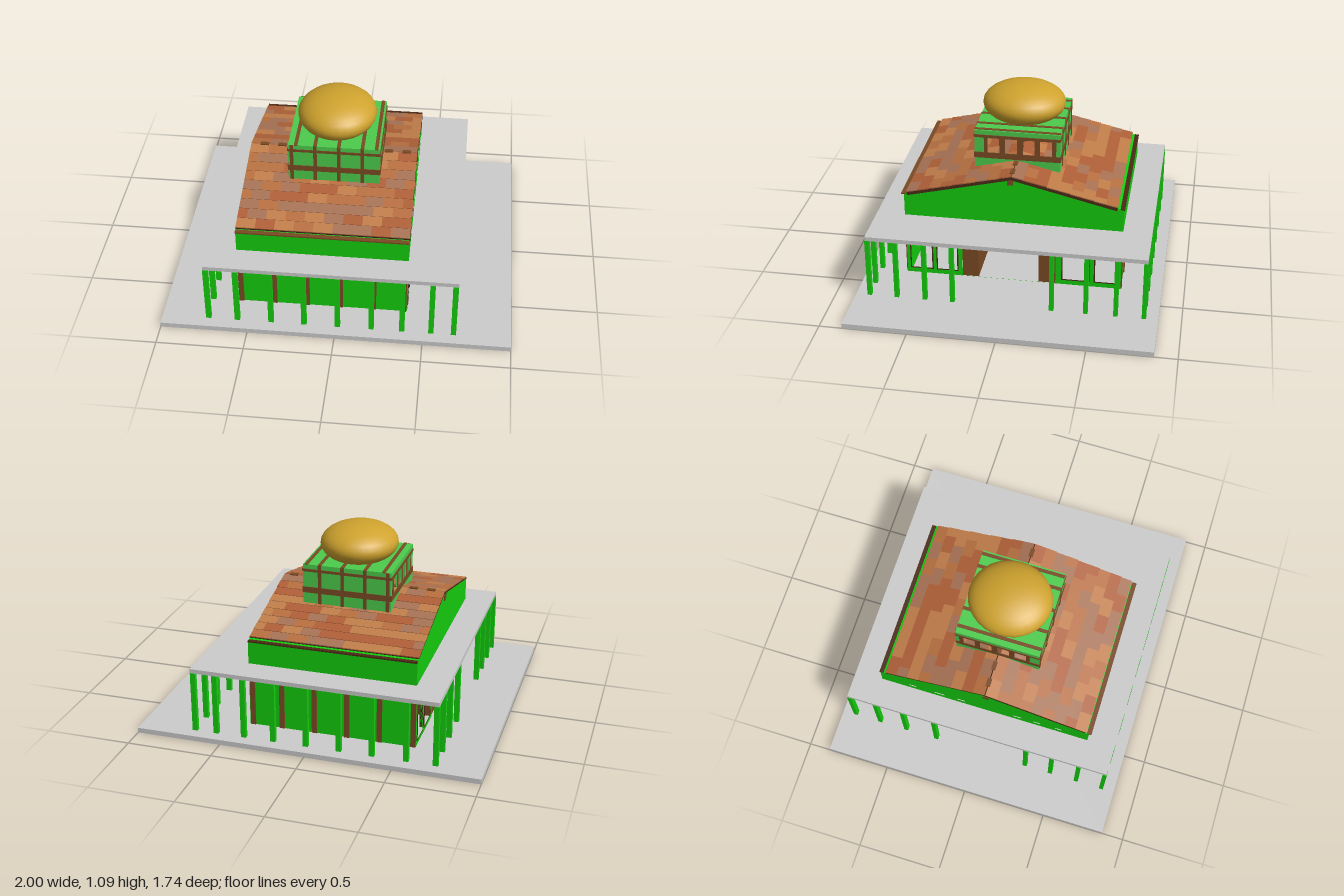
import * as THREE from 'three';

const mat = (color) => new THREE.MeshStandardMaterial({ color });
const M = {
  grey: mat(0xcccccc), green: mat(0x14cc0e), pale: mat(0x4ccc4c),
  brown: mat(0x7a4a24), dark: mat(0x4a2a16), gold: mat(0xcfa32e),
  tiles: [0xb87040, 0xc27e4a, 0xb06038, 0xa87355].map(mat),
};

// Box given by its limits on each axis
function box(parent, name, [x0, x1], [y0, y1], [z0, z1], material) {
  const m = new THREE.Mesh(new THREE.BoxGeometry(x1 - x0, y1 - y0, z1 - z0), material);
  m.position.set((x0 + x1) / 2, (y0 + y1) / 2, (z0 + z1) / 2);
  m.name = name;
  parent.add(m);
  return m;
}

// Outline in [z, y] with optional holes, extruded along x
function extrudeX(parent, name, outline, holes, x0, x1, material) {
  const pts = (a) => a.map(([z, y]) => new THREE.Vector2(-z, y));
  const shape = new THREE.Shape(pts(outline));
  holes.forEach((h) => shape.holes.push(new THREE.Path(pts(h))));
  const g = new THREE.ExtrudeGeometry(shape, { depth: x1 - x0, bevelEnabled: false });
  g.rotateY(Math.PI / 2).translate(x0, 0, 0);
  const m = new THREE.Mesh(g, material);
  m.name = name;
  parent.add(m);
}
const rect = (z0, z1, y0, y1) => [[z0, y0], [z1, y0], [z1, y1], [z0, y1]];
const around = (c, w) => [c - w / 2, c + w / 2];

function group(parent, name) {
  const g = new THREE.Group();
  g.name = name;
  parent.add(g);
  return g;
}

export function createModel() {
  const root = new THREE.Group();
  root.name = 'domedPavilion';

  box(root, 'basePlatform', [-1, 1], [0, 0.03], [-0.87, 0.87], M.grey);
  box(root, 'verandaRoof', [-0.745, 0.69], [0.39, 0.415], [-0.8, 0.8], M.grey);

  // Veranda posts
  const posts = group(root, 'verandaPosts');
  const postX = [-0.732, -0.565, -0.37, -0.18, 0.012, 0.205, 0.38, 0.546, 0.674];
  const postZ = [0.63, 0.465, 0.305, -0.265, -0.46, -0.63];
  const post = (x, z) => box(posts, 'post', around(x, 0.03), [0.03, 0.39], around(z, 0.025), M.green);
  for (const x of postX) for (const z of [-0.79, 0.79]) post(x, z);
  for (const z of postZ) for (const x of [-0.732, 0.674]) post(x, z);

  // Ground floor: long walls with brown pilasters and lintel
  const ground = group(root, 'groundFloor');
  for (const s of [-1, 1]) {
    const span = (a, b) => [Math.min(s * a, s * b), Math.max(s * a, s * b)];
    box(ground, 'longWall', [-0.58, 0.4], [0.03, 0.39], span(0.612, 0.632), M.green);
    box(ground, 'lintel', [-0.575, 0.395], [0.37, 0.39], span(0.63, 0.638), M.brown);
    for (const x of postX.slice(1, 7))
      box(ground, 'pilaster', around(x, 0.03), [0.03, 0.37], span(0.63, 0.638), M.brown);
  }

  // End walls with window and door openings
  const windows = [[0.475, 0.612], [0.325, 0.455], [-0.45, -0.285], [-0.612, -0.475]];
  const door = rect(-0.25, 0.3, 0.031, 0.37);
  for (const x of [-0.58, 0.38]) {
    extrudeX(ground, 'endWall', rect(-0.632, 0.632, 0.03, 0.39),
      [...windows.map(([a, b]) => rect(a, b, 0.06, 0.37)), door], x, x + 0.02, M.green);
    for (const [a, b] of windows)
      extrudeX(ground, 'windowFrame', rect(a, b, 0.06, 0.37),
        [rect(a + 0.007, b - 0.007, 0.067, 0.363)], x - 0.004, x + 0.024, M.dark);
  }
  // Brown walls flanking the passage
  box(ground, 'passageWall', [-0.575, 0.395], [0.03, 0.37], [0.205, 0.3], M.brown);
  box(ground, 'passageWall', [-0.575, 0.395], [0.03, 0.37], [-0.25, -0.15], M.brown);

  // Upper storey with gables; narrow recessed panels in the gable faces
  const upper = group(root, 'upperStorey');
  const gable = [[0.635, 0.415], [0.635, 0.55], [0.01, 0.7], [-0.635, 0.55], [-0.635, 0.415]];
  extrudeX(upper, 'upperBody', gable, [], -0.565, 0.385, M.green);
  const slits = [[0.455, 0.04, 0.555], [0.325, 0.04, 0.57], [0.205, 0.045, 0.59],
    [-0.14, 0.045, 0.59], [-0.275, 0.06, 0.57], [-0.44, 0.045, 0.555]];
  const slitHoles = slits.map(([z, w, top]) => {
    const [a, b] = around(z, w), tilt = z > 0 ? 0.005 : -0.005;
    return [[a, 0.455], [b, 0.455], [b, top - tilt], [a, top + tilt]];
  });
  extrudeX(upper, 'gableFace', gable, slitHoles, -0.58, -0.565, M.green);
  extrudeX(upper, 'gableFace', gable, slitHoles, 0.385, 0.4, M.green);
  box(upper, 'eavesBoard', [-0.58, 0.4], [0.548, 0.556], [0.625, 0.652], M.brown);
  box(upper, 'eavesBoard', [-0.58, 0.4], [0.548, 0.556], [-0.64, -0.615], M.dark);
  box(upper, 'ridgeBeam', [-0.585, 0.405], [0.66, 0.69], around(0.015, 0.035), M.brown);

  // Tiled roof: two sloping boards carrying staggered tiles
  const roof = group(root, 'roof');
  const pitch = Math.atan2(0.15, 0.62);
  let seed = 7;
  const rnd = () => (seed = (seed * 16807) % 2147483647) / 2147483647;
  for (const s of [-1, 1]) {
    const slope = group(roof, s > 0 ? 'frontSlope' : 'backSlope');
    slope.position.set(0, 0.7, 0.01);
    slope.rotation.x = s * pitch;
    const len = 0.625, rows = 9, step = len / rows, w = 0.109;
    box(slope, 'roofBoard', [-0.58, 0.403], [-0.008, 0.01], s > 0 ? [0, len] : [-len, 0], M.dark);
    for (let r = 0; r < rows; r++) {
      for (let x = -0.58 - (r % 2) * w / 2; x < 0.39; x += w) {
        const z = [s * r * step, s * (r + 1) * step].sort((a, b) => a - b);
        const tile = box(slope, 'roofTile', [Math.max(x, -0.58), Math.min(x + w, 0.403)],
          [0.01, 0.016], z, M.tiles[Math.floor(rnd() * 4)]);
        tile.rotation.x = -s * 0.04;
      }
    }
  }
  for (let i = 0; i < 9; i++)
    box(roof, 'ridgeCap', around(-0.5 + i * 0.105, 0.05), [0.7, 0.719], around(0.01, 0.025), M.brown);

  // Lantern: open glazed ends, panelled front and back
  const lantern = group(root, 'lantern');
  const X = [-0.325, 0.2], Z = [-0.243, 0.255];
  box(lantern, 'lanternTop', X, [0.875, 0.893], Z, M.pale);
  box(lantern, 'lanternPanel', X, [0.6, 0.875], [Z[1] - 0.012, Z[1]], M.pale);
  box(lantern, 'lanternPanel', X, [0.6, 0.875], [Z[0], Z[0] + 0.012], M.pale);
  const panes = [[0.11, 0.178], [0.008, 0.076], [-0.096, -0.028], [-0.195, -0.127]];
  const paneHoles = panes.map(([a, b]) => rect(a, b, 0.755, 0.848));
  for (const [x, out] of [[X[0], -0.004], [X[1] - 0.012, 0.012]]) {
    extrudeX(lantern, 'lanternEnd', rect(Z[0] + 0.012, Z[1] - 0.012, 0.6, 0.875), paneHoles, x, x + 0.012, M.pale);
    extrudeX(lantern, 'paneFrame', rect(-0.22, 0.2, 0.72, 0.866), paneHoles, x + out, x + out + 0.004, M.brown);
    for (const y of [[0.72, 0.755], [0.85, 0.866]])
      box(lantern, 'endRail', [x + out, x + out + 0.0045], y, Z, M.brown);
  }
  // Brown strips on front, back and top
  for (const [z0, z1] of [[Z[1], Z[1] + 0.004], [Z[0] - 0.004, Z[0]]]) {
    for (const y of [[0.72, 0.755], [0.85, 0.866]]) box(lantern, 'rail', X, y, [z0, z1], M.brown);
    for (const x of [-0.305, -0.17, -0.035, 0.1])
      box(lantern, 'stile', around(x, 0.02), [0.64, 0.893], [z0, z1], M.brown);
  }
  for (const x of [-0.28, -0.17, -0.035, 0.1, 0.18])
    box(lantern, 'topStrip', around(x, 0.02), [0.89, 0.896], Z, M.brown);

  // Flattened golden dome
  const dome = new THREE.Mesh(new THREE.SphereGeometry(1, 32, 16), M.gold);
  dome.scale.set(0.227, 0.117, 0.243);
  dome.position.set(-0.067, 0.973, 0.005);
  dome.name = 'dome';
  root.add(dome);

  return root;
}
